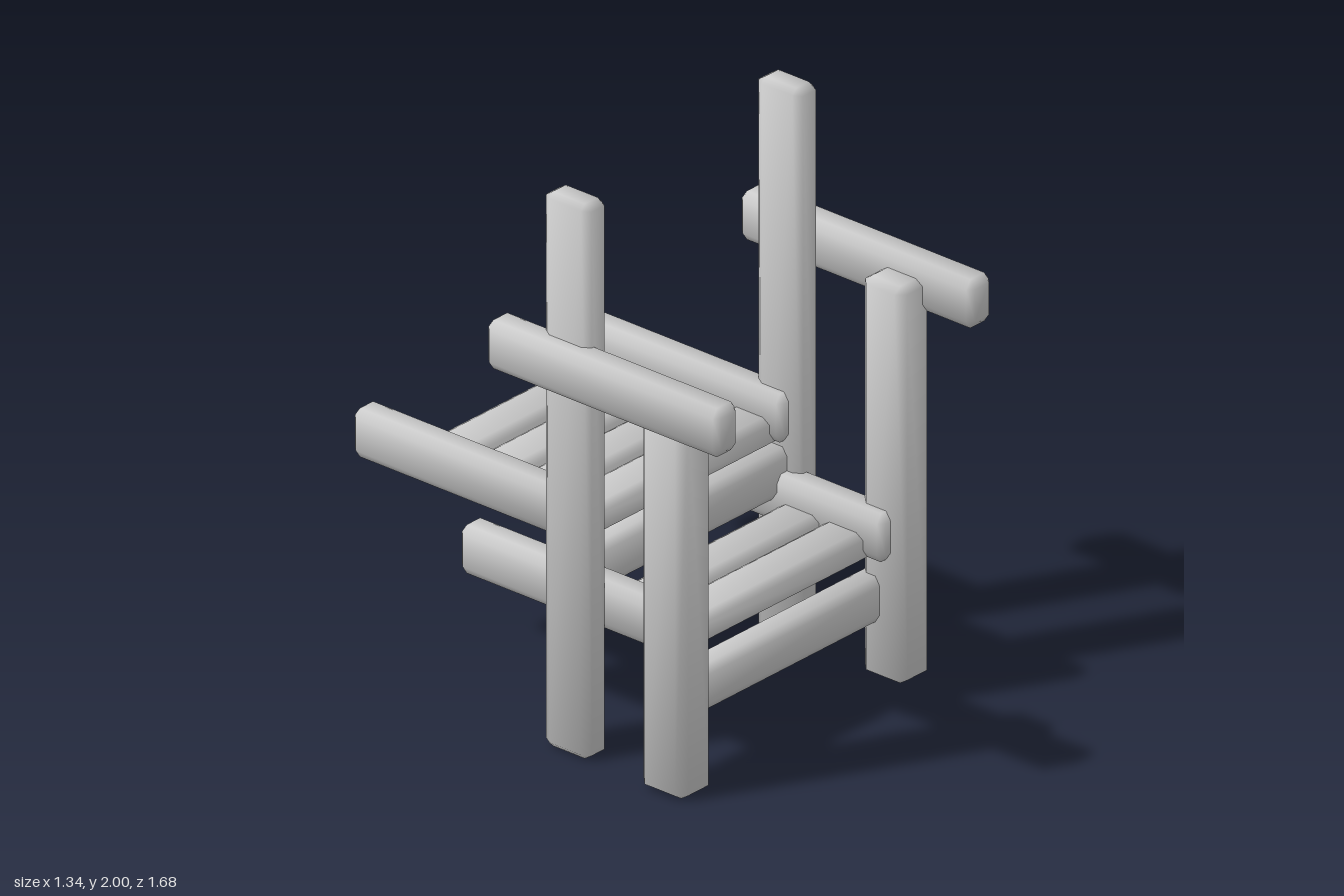
import * as THREE from 'three';
import { ConvexGeometry } from 'three/addons/geometries/ConvexGeometry.js';

const material = new THREE.MeshStandardMaterial({ color: 0xcccccc });

// Chamfered timber with softly blended normals
function timberGeometry(size) {
  const half = size.map((s) => s / 2);
  const inset = half.map((h, i) => h - (size[i] > 0.5 ? 0.02 : Math.min(0.03, size[i] * 0.19)));
  const points = [];
  for (const sx of [-1, 1]) for (const sy of [-1, 1]) for (const sz of [-1, 1]) {
    for (let axis = 0; axis < 3; axis++) {
      const p = [sx, sy, sz].map((s, i) => s * (i === axis ? half[i] : inset[i]));
      points.push(new THREE.Vector3(...p));
    }
  }
  const geometry = new ConvexGeometry(points);
  // each corner point leans mostly toward the face it lies on
  const pos = geometry.attributes.position, nor = geometry.attributes.normal;
  const n = new THREE.Vector3();
  for (let v = 0; v < pos.count; v++) {
    const p = [pos.getX(v), pos.getY(v), pos.getZ(v)];
    n.set(...p.map((c, i) => Math.sign(c) * (Math.abs(c) > half[i] - 1e-4 ? 3 : 1.28))).normalize();
    nor.setXYZ(v, n.x, n.y, n.z);
  }
  return geometry;
}

export function createModel() {
  const chair = new THREE.Group();
  chair.name = 'chair';

  // Timber given by its extents along x, y and z
  function timber(name, x, y, z) {
    const spans = [x, y, z];
    const mesh = new THREE.Mesh(timberGeometry(spans.map(([a, b]) => b - a)), material);
    mesh.position.set(...spans.map(([a, b]) => (a + b) / 2));
    mesh.name = name;
    chair.add(mesh);
  }

  // Front legs
  timber('rightFrontLeg', [-0.63, -0.47], [0, 1.43], [0.455, 0.645]);
  timber('leftFrontLeg', [0.45, 0.605], [0, 1.43], [0.455, 0.635]);

  // Tall back posts
  timber('rightBackPost', [-0.61, -0.51], [0, 2], [0.03, 0.225]);
  timber('leftBackPost', [0.455, 0.555], [0, 2], [0.005, 0.195]);

  // Armrests
  timber('rightArmrest', [-0.67, -0.56], [1.315, 1.49], [-0.165, 0.83]);
  timber('leftArmrest', [0.555, 0.665], [1.315, 1.49], [-0.155, 0.84]);

  // Lower side rails
  timber('rightLowerRail', [-0.53, -0.425], [0.445, 0.62], [-0.4, 0.59]);
  timber('leftLowerRail', [0.405, 0.51], [0.445, 0.62], [-0.4, 0.59]);

  // Upper side rails, reaching backward
  timber('rightUpperRail', [-0.55, -0.445], [0.725, 0.9], [-0.84, 0.16]);
  timber('leftUpperRail', [0.415, 0.52], [0.725, 0.9], [-0.84, 0.15]);

  // Slats of both levels
  const across = [-0.5, 0.475];
  for (let i = 0; i < 4; i++) {
    const z = -0.65 + i * 0.194;
    timber('upperSlat', across, [0.7, 0.805], [z, z + 0.172]);
  }
  for (const z of [0.15, 0.338]) timber('lowerSlat', across, [0.425, 0.53], [z, z + 0.174]);

  // Upright cross boards
  timber('middleBoard', across, [0.53, 0.7], [0.04, 0.143]);
  timber('frontBoard', [-0.52, 0.49], [0.205, 0.37], [0.443, 0.543]);

  return chair;
}
